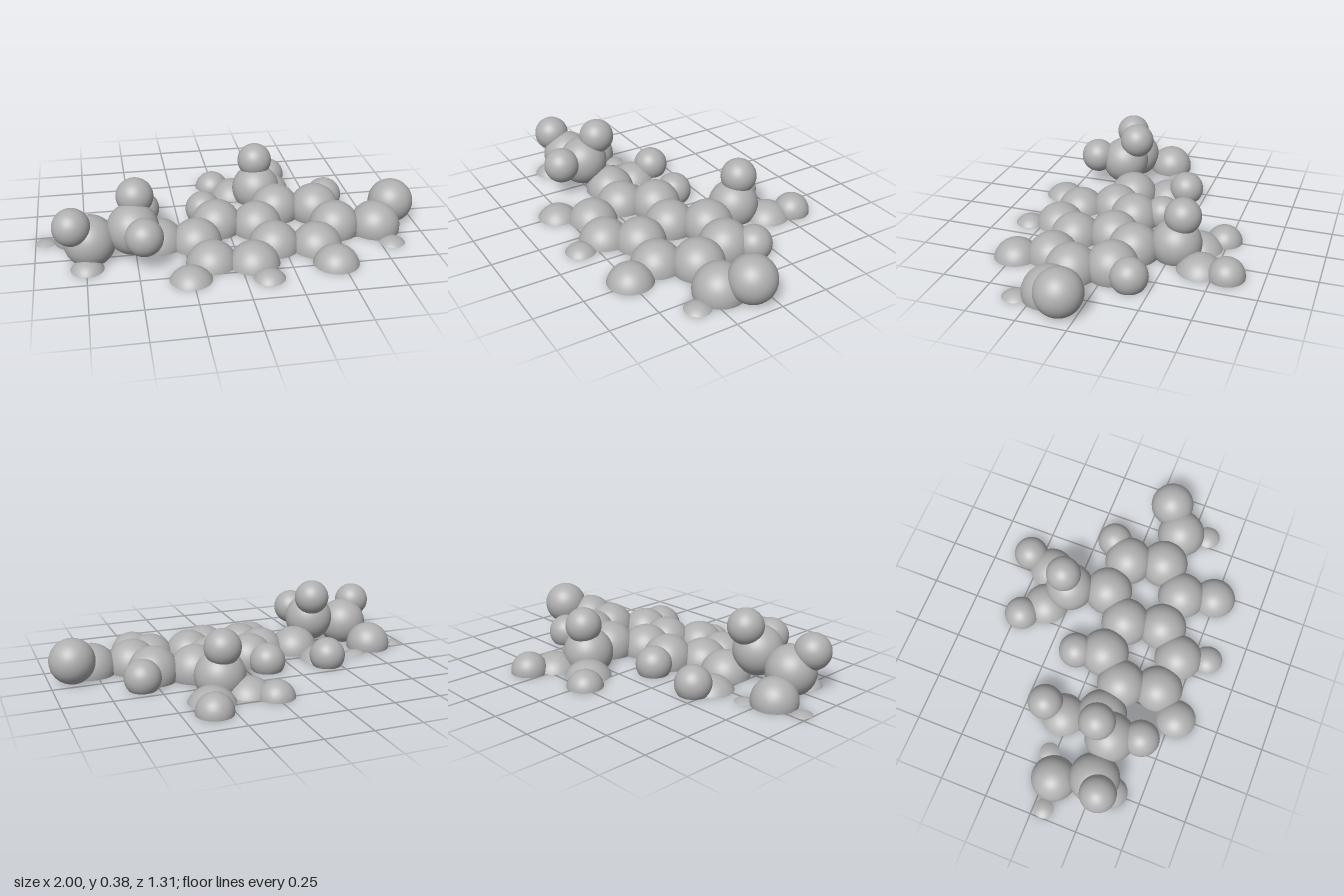
import * as THREE from 'three';

// Ball radii by kind
const LARGE = 0.131, MEDIUM = 0.118, SMALL = 0.094;

// Ball centres: x, y, z
const largeBalls = [
  // two fused rings
  [0.55, 0.03, 0.16], [0.49, 0.045, -0.03], [0.28, 0.04, -0.07], [0.15, 0.02, 0.08],
  [0.2, 0.003, 0.28], [0.415, -0.003, 0.315],
  [-0.06, 0.028, 0.04], [-0.185, 0.003, 0.185], [-0.135, -0.022, 0.38], [0.07, -0.022, 0.42],
  // right arm
  [0.765, 0.025, 0.185],
  // back branch
  [0.215, 0.07, -0.275], [0.1, -0.052, -0.37], [0.31, -0.052, -0.425],
  // left chain
  [-0.375, 0, 0.15], [-0.455, -0.057, -0.04], [-0.51, 0.15, 0.245], [-0.725, 0.1, 0.245],
];
const mediumBalls = [
  [0.879, 0.11, 0.085], [0.47, -0.025, 0.49], [-0.258, -0.055, 0.525], [-0.79, 0.02, 0.045],
];
const smallBalls = [
  [0.812, -0.066, 0.335], [0.575, 0.06, -0.145], [-0.11, 0.05, -0.105], [0.115, -0.052, 0.575],
  [0.212, 0.226, -0.305], [-0.005, -0.008, -0.475], [0.345, 0.01, -0.565],
  [-0.438, 0.055, -0.148], [-0.49, 0.288, 0.167], [-0.465, 0.177, 0.397],
  [-0.81, 0.21, 0.297], [-0.745, -0.045, 0.348], [-0.67, -0.078, -0.03], [-0.95, -0.079, 0.053],
];

export function createModel() {
  const model = new THREE.Group();
  model.name = 'ballCluster';
  const grey = new THREE.MeshStandardMaterial({ color: 0xb0b0b0 });
  grey.name = 'grey';

  // Sphere sliced flat at y = 0, with a disc closing the underside
  function addBall(name, [x, y, z], r) {
    const cut = y < r;
    const theta = cut ? Math.acos(-y / r) : Math.PI;
    const ball = new THREE.Mesh(new THREE.SphereGeometry(r, 40, 24, 0, Math.PI * 2, 0, theta), grey);
    ball.name = name;
    ball.position.set(x, y, z);
    model.add(ball);
    if (!cut) return;
    const disc = new THREE.CircleGeometry(r * Math.sin(theta), 40).rotateX(Math.PI / 2);
    const base = new THREE.Mesh(disc, grey);
    base.name = name + 'Base';
    base.position.y = -y;
    ball.add(base);
  }

  largeBalls.forEach((p, i) => addBall('largeBall' + (i + 1), p, LARGE));
  mediumBalls.forEach((p, i) => addBall('mediumBall' + (i + 1), p, MEDIUM));
  smallBalls.forEach((p, i) => addBall('smallBall' + (i + 1), p, SMALL));
  return model;
}
